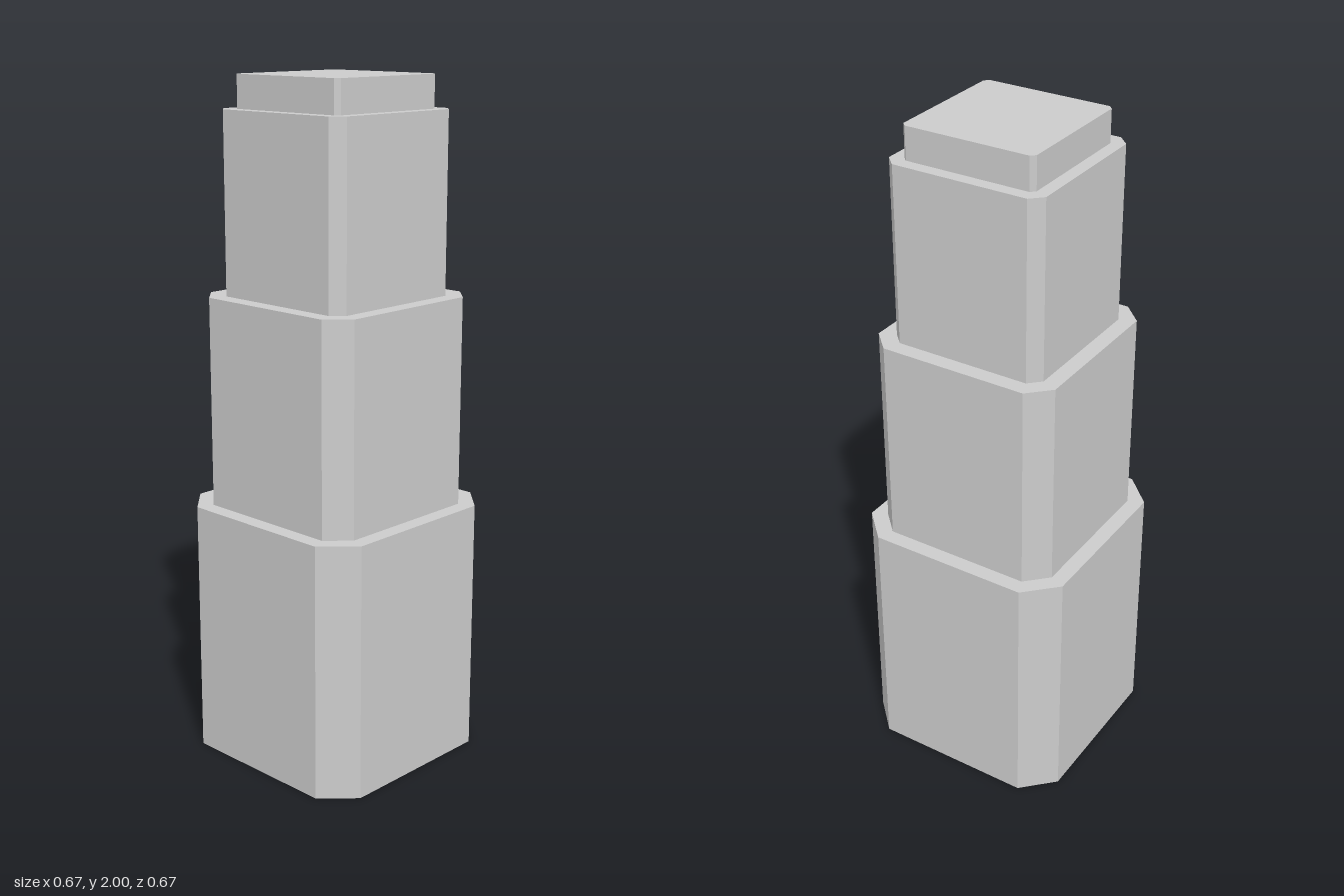
import * as THREE from 'three';

// Square tier with chamfered vertical corners: half = half width, flat = half length of each main face
function tierGeometry(half, flat, height) {
  const shape = new THREE.Shape([
    [half, -flat], [half, flat], [flat, half], [-flat, half],
    [-half, flat], [-half, -flat], [-flat, -half], [flat, -half],
  ].map(([x, y]) => new THREE.Vector2(x, y)));
  const geometry = new THREE.ExtrudeGeometry(shape, { depth: height, bevelEnabled: false });
  return geometry.rotateX(-Math.PI / 2); // extrude upwards
}

export function createModel() {
  const group = new THREE.Group();
  group.name = 'steppedTower';
  const grey = new THREE.MeshStandardMaterial({ color: 0xcccccc, flatShading: true });
  grey.name = 'lightGrey';

  // Stacked tiers, each narrower and with smaller chamfers
  const tiers = [
    { name: 'baseTier', half: 0.333, flat: 0.243, bottom: 0, top: 0.762 },
    { name: 'middleTier', half: 0.286, flat: 0.224, bottom: 0.762, top: 1.381 },
    { name: 'upperTier', half: 0.238, flat: 0.204, bottom: 1.381, top: 1.905 },
    { name: 'roofCap', half: 0.2, flat: 0.187, bottom: 1.905, top: 2 },
  ];
  for (const { name, half, flat, bottom, top } of tiers) {
    const mesh = new THREE.Mesh(tierGeometry(half, flat, top - bottom), grey);
    mesh.name = name;
    mesh.position.y = bottom;
    group.add(mesh);
  }
  return group;
}
